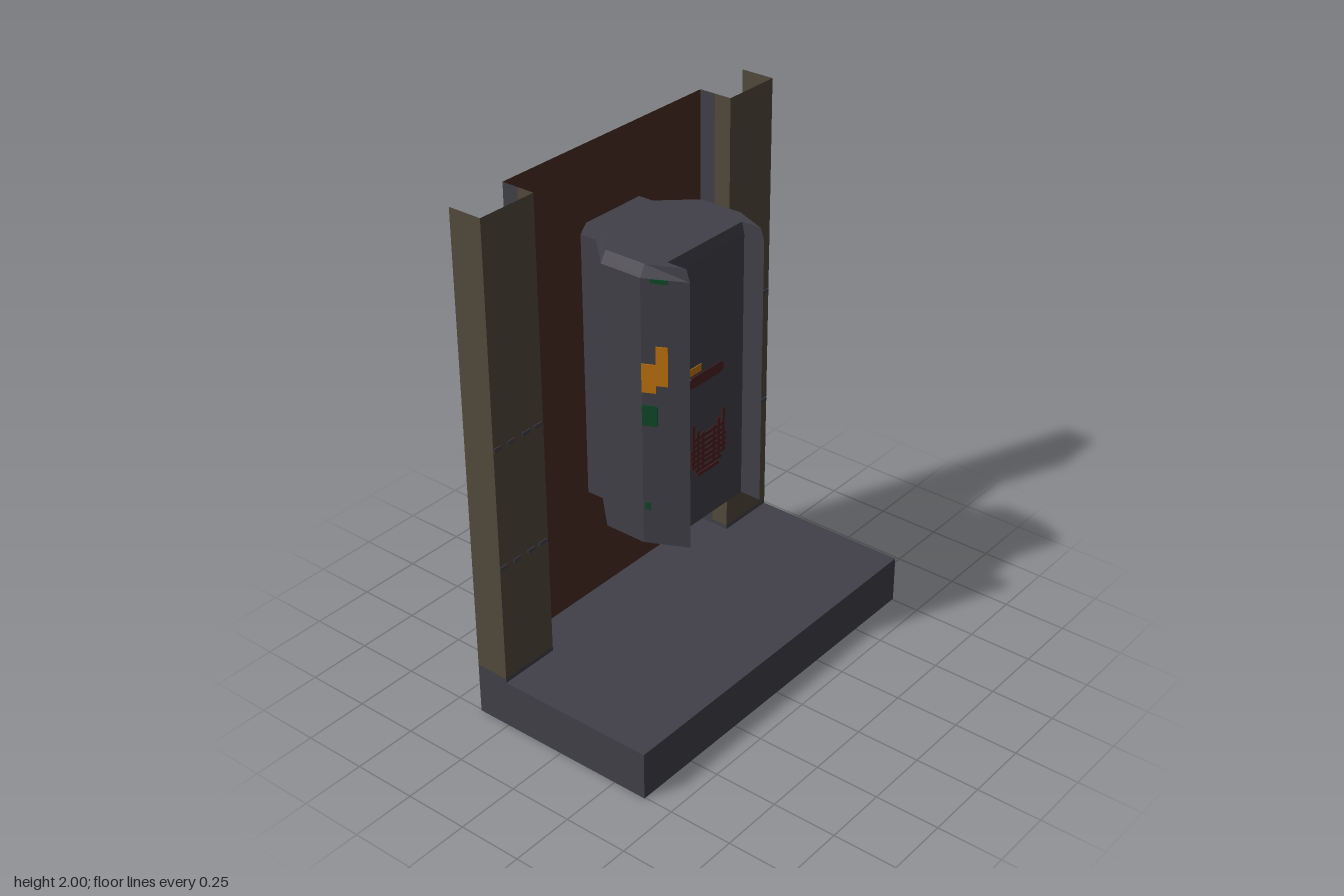
import * as THREE from 'three';

const material = (name, color) => {
  const m = new THREE.MeshStandardMaterial({ color, side: THREE.DoubleSide });
  m.name = name;
  return m;
};

export function createModel() {
  const model = new THREE.Group();
  const grey = material('dark grey metal', 0x413f48);
  const brown = material('rust brown', 0x4a2d23);
  const olive = material('olive steel', 0x51493c);
  const orange = material('orange paint', 0xc0740f);
  const green = material('green display', 0x0f4a28);
  const red = material('dark red paint', 0x4c2022);

  const add = (name, geometry, mat, parent = model) => {
    const mesh = new THREE.Mesh(geometry, mat);
    mesh.name = name;
    parent.add(mesh);
    return mesh;
  };
  const group = (name) => {
    const g = new THREE.Group();
    g.name = name;
    model.add(g);
    return g;
  };

  // Flat-faced band between two [x, z] paths at two heights
  const loft = (a, y0, b, y1) => {
    const pos = [];
    for (let i = 0; i < a.length - 1; i++) {
      const p = [a[i][0], y0, a[i][1]], q = [a[i + 1][0], y0, a[i + 1][1]];
      const r = [b[i + 1][0], y1, b[i + 1][1]], s = [b[i][0], y1, b[i][1]];
      pos.push(...p, ...r, ...q, ...p, ...s, ...r);
    }
    return finish(pos);
  };
  const finish = (pos) => {
    const g = new THREE.BufferGeometry();
    g.setAttribute('position', new THREE.Float32BufferAttribute(pos, 3));
    g.computeVertexNormals();
    return g;
  };
  const cap = (path, y, up) => {
    const v = path.map(([x, z]) => new THREE.Vector2(x, z));
    const pos = [];
    for (const [i, j, k] of THREE.ShapeUtils.triangulateShape(v, [])) {
      const area = (v[j].x - v[i].x) * (v[k].y - v[i].y) - (v[j].y - v[i].y) * (v[k].x - v[i].x);
      const order = (area < 0) === up ? [i, j, k] : [i, k, j];
      for (const n of order) pos.push(v[n].x, y, v[n].y);
    }
    return finish(pos);
  };
  const wall = (path, y0, y1) => loft(path, y0, path, y1);

  // Base: open at the back and underneath
  const X = 0.755, Z = 0.385, H = 0.19;
  const base = group('base');
  const basePath = [[-X, -Z], [-X, Z], [X, Z], [X, -Z]];
  add('baseSides', wall([...basePath].reverse(), 0, H), grey, base);
  add('baseTop', cap(basePath, H, true), grey, base);

  // Back panel
  add('backPanel', wall([[0.51, -Z], [-0.51, -Z]], H, 2), brown);

  // Thin plate lying on the vertical face over segment p-q, spans in x or z measured by t
  const plate = (name, p, q, t0, t1, y0, y1, mat, parent) => {
    const dx = q[0] - p[0], dz = q[1] - p[1], t = (t0 + t1) / 2;
    const g = new THREE.BoxGeometry(Math.hypot(dx, dz) * (t1 - t0), y1 - y0, 0.006);
    const m = add(name, g, mat, parent);
    m.position.set(p[0] + dx * t, (y0 + y1) / 2, p[1] + dz * t);
    m.rotation.y = Math.atan2(-dz, dx);
  };

  // Folded pillars with a grey skirting, grey inner seam and dashed rivet lines
  for (const s of [1, -1]) {
    const pillar = group(s > 0 ? 'leftPillar' : 'rightPillar');
    const path = [[X, -Z], [X, -0.25], [0.51, -0.25], [0.51, -0.32]].map(([x, z]) => [s * x, z]);
    const seam = [[s * 0.51, -0.32], [s * 0.51, -Z]];
    add('pillarSkirting', wall(path, H, 0.207), grey, pillar);
    add('pillarShell', wall(path, 0.207, 2), olive, pillar);
    add('pillarSeam', wall(seam, H, 2), grey, pillar);
    for (const y of [0.675, 1.15])
      for (const [t0, t1] of [[0.03, 0.2], [0.27, 0.43], [0.58, 0.72], [0.85, 0.99]])
        plate('rivetDash', path[2], path[1], t0, t1, y - 0.008, y + 0.008, grey, pillar);
  }

  // Cabinet with a recessed front between two wings and a chamfered top
  const mirrored = (half) => [...half, ...[...half].reverse().map(([x, z]) => [-x, z])];
  const lower = [[0.15, -0.38], [0.15, -0.31], [0.275, -0.18], [0.275, -0.01], [0.2, 0.14], [0.2, 0.055]];
  const upper = [[0.14, -0.362], [0.14, -0.302], [0.255, -0.175], [0.255, -0.005], [0.2, 0.125], [0.2, 0.045]];
  const lo = mirrored(lower), hi = mirrored(upper);
  const close = (p) => [...p, p[0]];
  const cabinet = group('cabinet');
  add('cabinetWalls', wall(close(lo), 0.64, 1.68), grey, cabinet);
  add('cabinetChamfer', loft(close(lo), 1.68, close(hi), 1.725), grey, cabinet);
  add('cabinetTop', cap(hi, 1.725, true), grey, cabinet);
  add('cabinetBottom', cap(lo, 0.64, false), grey, cabinet);

  // Front markings: bars and an abstract notched grille
  const front = (name, x0, x1, y0, y1, mat) =>
    plate(name, [0, 0.055], [1, 0.055], x0, x1, y0, y1, mat, cabinet);
  front('orangeBar', -0.155, -0.035, 1.252, 1.28, orange);
  front('redSlot', -0.085, 0.068, 1.2, 1.242, red);
  for (const x of [-0.085, 0.068]) {
    const end = add('redSlotEnd', new THREE.CylinderGeometry(0.021, 0.021, 0.0055, 12), red, cabinet);
    end.rotation.x = Math.PI / 2;
    end.position.set(x, 1.221, 0.055);
  }
  const rows = [[0.83, 0.06], [0.85, 0.075], [0.872, 0.095], [0.892, 0.1], [0.914, 0.1], [0.935, 0.1], [0.957, 0.09], [0.98, 0.085]];
  for (const [y, w] of rows) front('grilleRow', 0.005 - w, 0.005 + w, y, y + 0.014, red);
  for (const s of [1, -1]) {
    for (const [x, y0, y1] of [[0.03, 0.86, 1.0], [0.058, 0.85, 1.02], [0.084, 0.87, 1.05]])
      front('grilleBar', 0.005 + s * x - 0.007, 0.005 + s * x + 0.007, y0, y1, red);
  }

  // Left side: green display frame, orange keypad and green lamp
  const zPlate = (name, a, b, z0, z1, y0, y1, mat) => {
    const t = (z) => (z - a[1]) / (b[1] - a[1]);
    plate(name, a, b, t(z0), t(z1), y0, y1, mat, cabinet);
  };
  const [, neck, rear, mid, tip] = lower;
  for (const [z0, z1, y0, y1] of [
    [-0.18, -0.05, 1.63, 1.65], [-0.18, -0.05, 1.545, 1.555], [-0.07, -0.05, 1.555, 1.63],
    [-0.18, -0.165, 1.555, 1.63], [-0.165, -0.08, 1.6, 1.613], [-0.165, -0.08, 1.57, 1.578],
  ]) zPlate('displayFrame', rear, mid, z0, z1, y0, y1, green);
  zPlate('displayEdge', neck, rear, -0.195, -0.18, 1.545, 1.65, green);
  for (const [y0, y1] of [[1.24, 1.28], [1.29, 1.31], [1.325, 1.365]])
    zPlate('keypadRow', rear, mid, -0.112, -0.055, y0, y1, orange);
  zPlate('keypadColumn', rear, mid, -0.14, -0.125, 1.25, 1.36, orange);
  zPlate('orangePatch', neck, rear, -0.215, -0.18, 1.24, 1.37, orange);
  zPlate('orangePatch', neck, rear, -0.255, -0.215, 1.26, 1.43, orange);
  zPlate('greenLamp', neck, rear, -0.24, -0.19, 1.12, 1.195, green);
  zPlate('greenDot', neck, rear, -0.215, -0.195, 0.79, 0.81, green);

  // Right wing: orange patch and green lamps
  const a = [-mid[0], mid[1]], b = [-tip[0], tip[1]];
  plate('orangePatch', a, b, 0, 0.3, 1.25, 1.36, orange, cabinet);
  plate('orangePatch', a, b, 0.3, 0.55, 1.28, 1.43, orange, cabinet);
  plate('greenLamp', a, b, 0, 0.33, 1.12, 1.2, green, cabinet);
  plate('greenDot', a, b, 0.05, 0.15, 0.78, 0.81, green, cabinet);
  plate('greenDot', a, b, 0.2, 0.55, 1.665, 1.68, green, cabinet);

  return model;
}
